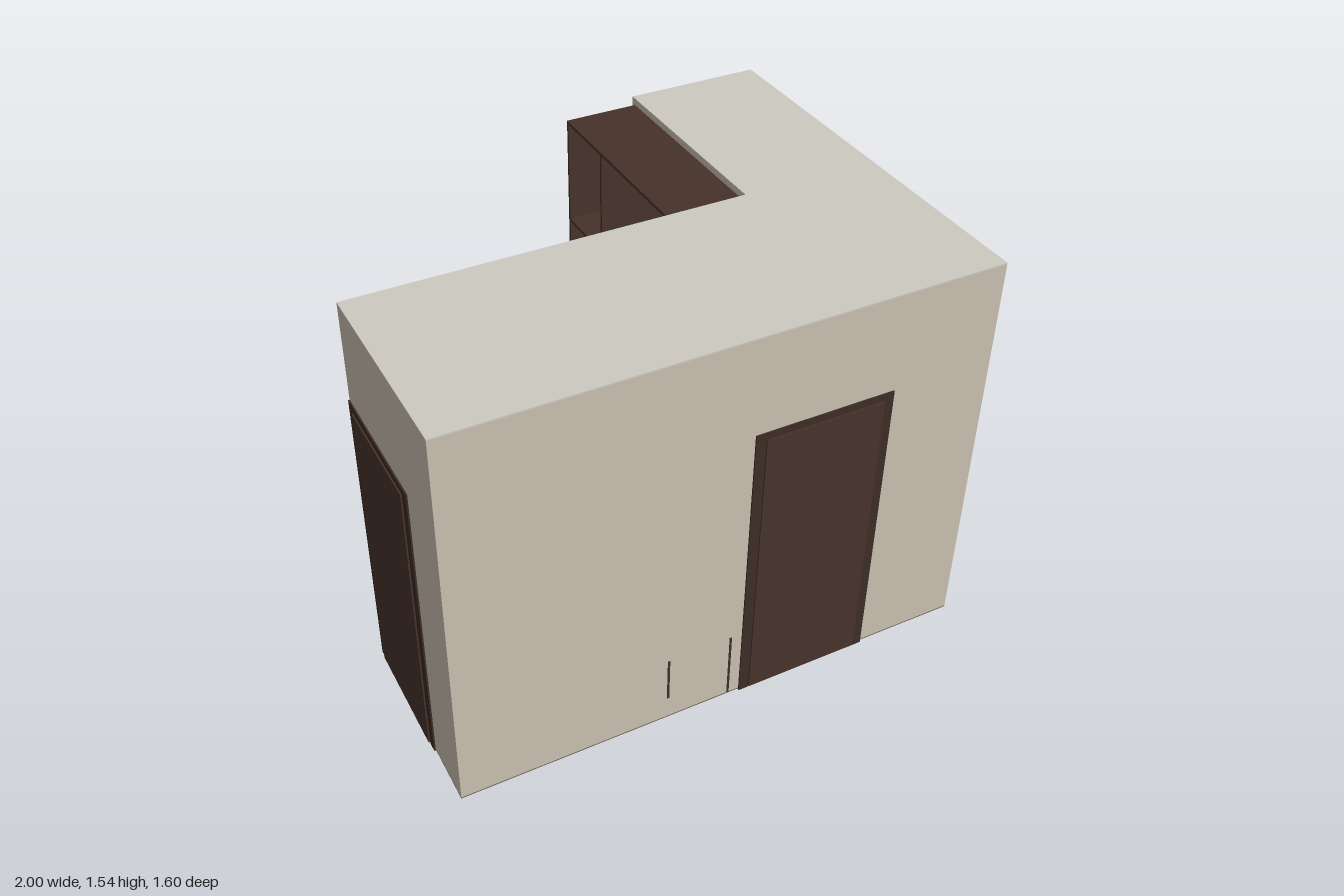
import * as THREE from 'three';

const mat = (color) => new THREE.MeshStandardMaterial({ color });
const wallMat = mat(0xc8beaf), roofMat = mat(0xcdc9c1), floorMat = mat(0x74675a);
const leafMat = mat(0x46332a), frameMat = mat(0x3c2c24), shelfMat = mat(0x46332a);

// Box given by its minimum and maximum corners
function box(name, material, [x0, y0, z0], [x1, y1, z1]) {
  const mesh = new THREE.Mesh(new THREE.BoxGeometry(x1 - x0, y1 - y0, z1 - z0), material);
  mesh.position.set((x0 + x1) / 2, (y0 + y1) / 2, (z0 + z1) / 2);
  mesh.name = name;
  return mesh;
}

// One slab of the L-shaped plan between two heights
function planSlab(name, material, y0, y1) {
  const plan = [[-0.988, 0.79], [0.988, 0.79], [0.988, -0.797], [0.467, -0.797], [0.467, 0.038], [-0.988, 0.038]];
  const shape = new THREE.Shape(plan.map(([x, z]) => new THREE.Vector2(x, -z)));
  const geo = new THREE.ExtrudeGeometry(shape, { depth: y1 - y0, bevelEnabled: false });
  geo.rotateX(-Math.PI / 2).translate(0, y0, 0);
  const mesh = new THREE.Mesh(geo, material);
  mesh.name = name;
  return mesh;
}

// Door facing +z before turning: surround on the wall, leaf standing slightly proud
function door(name, width, x, z, turn, depth = 0.011) {
  const g = new THREE.Group();
  const w = width / 2, jamb = 0.038, top = 1.165;
  g.add(
    box('leftJamb', frameMat, [w - jamb, 0, -0.01], [w, top, depth * 0.5]),
    box('rightJamb', frameMat, [-w, 0, -0.01], [-w + jamb, top, depth * 0.5]),
    box('doorHead', frameMat, [-w + jamb, top - 0.027, -0.01], [w - jamb, top, depth * 0.5]),
    box('doorLeaf', leafMat, [-w + jamb, 0.007, -0.01], [w - jamb, top - 0.027, depth])
  );
  g.position.set(x, 0, z);
  g.rotation.y = turn;
  g.name = name;
  return g;
}

// Open bookcase facing -x, with a narrow and a wide bay
function bookcase() {
  const g = new THREE.Group();
  g.name = 'bookcase';
  const x0 = 0.18, x1 = 0.465, z0 = -0.775, zMid = -0.5, z1 = 0.02, top = 1.515, t = 0.012;
  for (const z of [z0, zMid, z1 - t]) g.add(box('uprightPanel', shelfMat, [x0, 0.007, z], [x1, top, z + t]));
  g.add(box('topPanel', shelfMat, [x0, top - t, z0 + t], [x1, top, z1 - t]));
  g.add(box('backPanel', shelfMat, [x1 - 0.008, 0.007, z0 + t], [x1, top - t, z1 - t]));
  for (let i = 0; i < 5; i++) {
    const y = 0.24 + i * 0.215;
    g.add(box('narrowShelf', shelfMat, [x0, y - t, z0 + t], [x1 - 0.008, y, zMid]));
  }
  for (const y of [0.24, 1.1]) g.add(box('wideShelf', shelfMat, [x0, y - t, zMid + t], [x1 - 0.008, y, z1 - t]));
  return g;
}

export function createModel() {
  const model = new THREE.Group();
  model.name = 'lShapedRoom';

  // Shell
  model.add(
    planSlab('floor', floorMat, 0.004, 0.009),
    planSlab('walls', wallMat, 0.009, 1.535),
    planSlab('roof', roofMat, 1.535, 1.54)
  );

  // Doors on five walls
  model.add(
    door('frontDoor', 0.52, 0.34, 0.79, 0),
    door('leftSideDoor', 0.52, 0.988, -0.31, Math.PI / 2),
    door('rightSideDoor', 0.52, -0.988, 0.299, -Math.PI / 2),
    door('wingBackDoor', 0.463, 0.757, -0.797, Math.PI, 0.006),
    door('hallBackDoor', 0.463, -0.412, 0.038, Math.PI)
  );

  // Slim dark strips low on the front wall
  model.add(
    box('wallStrip', frameMat, [-0.212, 0.1, 0.78], [-0.203, 0.285, 0.791]),
    box('wallStrip', frameMat, [0.031, 0.01, 0.78], [0.04, 0.285, 0.791])
  );

  model.add(bookcase());
  return model;
}
